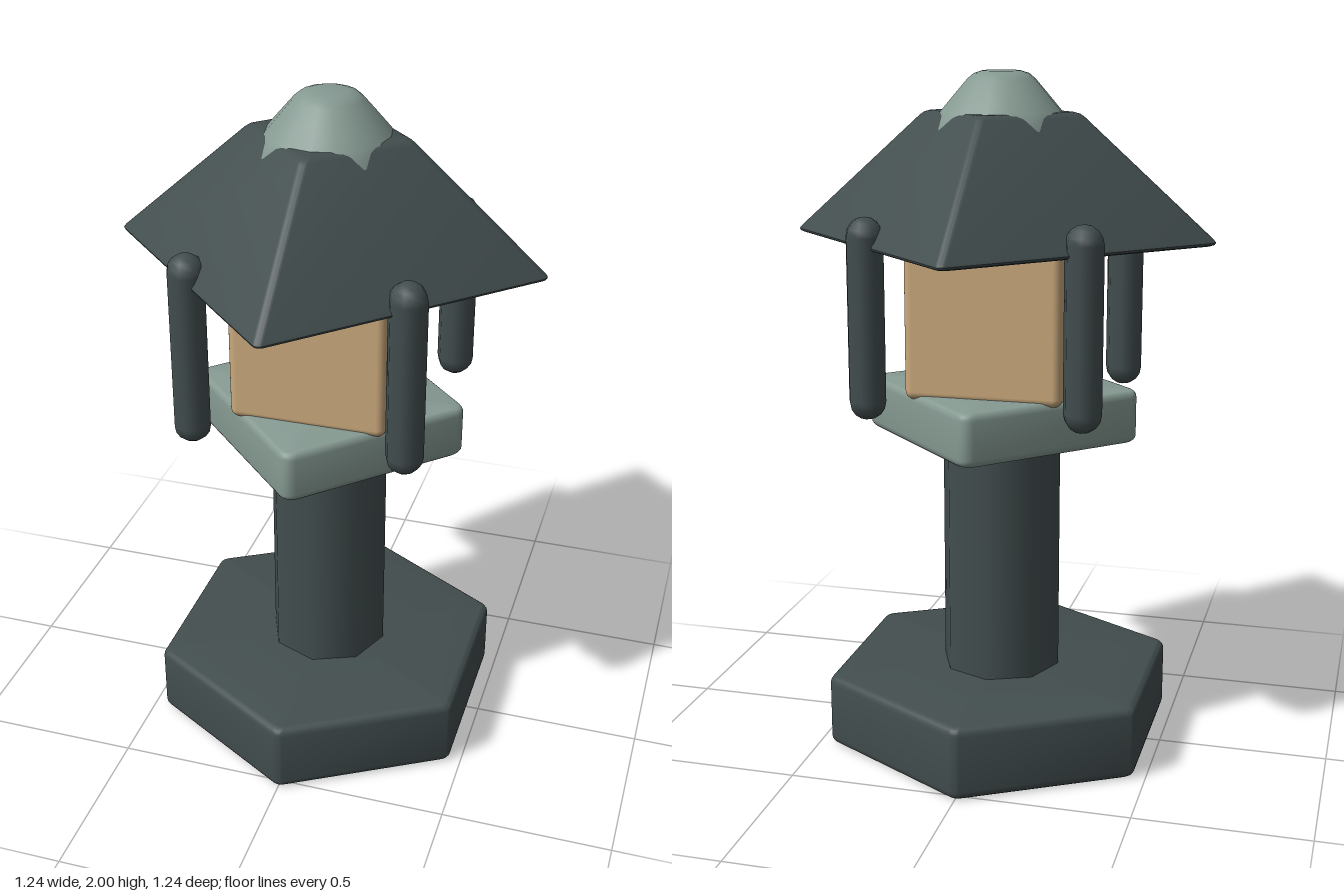
import * as THREE from 'three';
import { toCreasedNormals } from 'three/addons/utils/BufferGeometryUtils.js';
import { RoundedBoxGeometry } from 'three/addons/geometries/RoundedBoxGeometry.js';

const flat = (name, color) => Object.assign(new THREE.MeshStandardMaterial({ color }), { name });

// Solid lofted through rounded polygons; profile lists [corner radius, height] from bottom to top
function roundedLoft(sides, phase, corner, profile, steps = 4) {
  const pos = [], index = [], count = sides * (steps + 1);
  for (const [r, y] of profile) {
    for (let s = 0; s < sides; s++) {
      const mid = phase + (s / sides) * Math.PI * 2;
      const centre = r - corner / Math.cos(Math.PI / sides);
      for (let k = 0; k <= steps; k++) {
        const a = mid + (k / steps - 0.5) * (Math.PI * 2 / sides);
        pos.push(
          Math.cos(mid) * centre + Math.cos(a) * corner, y,
          Math.sin(mid) * centre + Math.sin(a) * corner);
      }
    }
  }
  const last = profile.length - 1;
  for (let l = 0; l < last; l++) {
    for (let i = 0; i < count; i++) {
      const j = (i + 1) % count, a = l * count + i, b = l * count + j;
      index.push(a, a + count, b, b, a + count, b + count);
    }
  }
  // end caps
  const bottom = pos.length / 3;
  pos.push(0, profile[0][1], 0, 0, profile[last][1], 0);
  for (let i = 0; i < count; i++) {
    const j = (i + 1) % count;
    index.push(bottom, i, j, bottom + 1, last * count + j, last * count + i);
  }
  const geo = new THREE.BufferGeometry();
  geo.setAttribute('position', new THREE.Float32BufferAttribute(pos, 3));
  geo.setIndex(index);
  return toCreasedNormals(geo, 0.45);
}

// Profile of a straight slab with rounded top and bottom edges
function slab(radius, y0, y1, bevel, steps = 4) {
  const pts = [];
  for (let i = 0; i <= steps; i++) {
    const a = (i / steps) * Math.PI / 2;
    pts.push([radius - bevel * (1 - Math.sin(a)), y0 + bevel * (1 - Math.cos(a))]);
  }
  return pts.concat(pts.map(([r, y]) => [r, y0 + y1 - y]).reverse());
}

export function createModel() {
  const group = new THREE.Group();
  const dark = flat('darkStone', 0x434e4f);
  const pale = flat('paleStone', 0x869a92);
  const glow = flat('warmPanel', 0xcbaa7d);
  const add = (name, geo, mat, x = 0, y = 0, z = 0) => {
    const mesh = new THREE.Mesh(geo, mat);
    mesh.name = name;
    mesh.position.set(x, y, z);
    group.add(mesh);
    return mesh;
  };

  // hexagonal foot with corners on the z axis
  add('base', roundedLoft(6, Math.PI / 2, 0.03, slab(0.538, 0, 0.22, 0.025)), dark);

  // column
  add('column', new THREE.CylinderGeometry(0.18, 0.18, 0.78, 8), dark, 0, 0.58, 0);

  // diamond platform
  add('platform', roundedLoft(4, 0, 0.035, slab(0.42, 0.94, 1.095, 0.022)), pale);

  // lantern chamber
  add('lanternBox', new RoundedBoxGeometry(0.46, 0.46, 0.46, 3, 0.025), glow, 0, 1.31, 0);

  // four corner posts
  for (const x of [-0.31, 0.31]) {
    for (const z of [-0.31, 0.31]) {
      add('cornerPost', new THREE.CapsuleGeometry(0.055, 0.465, 4, 8), dark, x, 1.327, z);
    }
  }

  // truncated pyramid roof, turned like the platform
  add('roof', roundedLoft(4, 0, 0.02, [
    [0.615, 1.523], [0.627, 1.527], [0.63, 1.533], [0.624, 1.541],
    [0.25, 1.874], [0.238, 1.882], [0.22, 1.887],
  ]), dark);

  // flared finial
  const profile = [
    [0, 1.82], [0.205, 1.82], [0.203, 1.842], [0.175, 1.887], [0.13, 1.94],
    [0.098, 1.977], [0.08, 1.992], [0.055, 2], [0, 2],
  ].map(([r, y]) => new THREE.Vector2(r, y));
  add('finial', toCreasedNormals(new THREE.LatheGeometry(profile, 16), 0.8), pale);

  return group;
}
